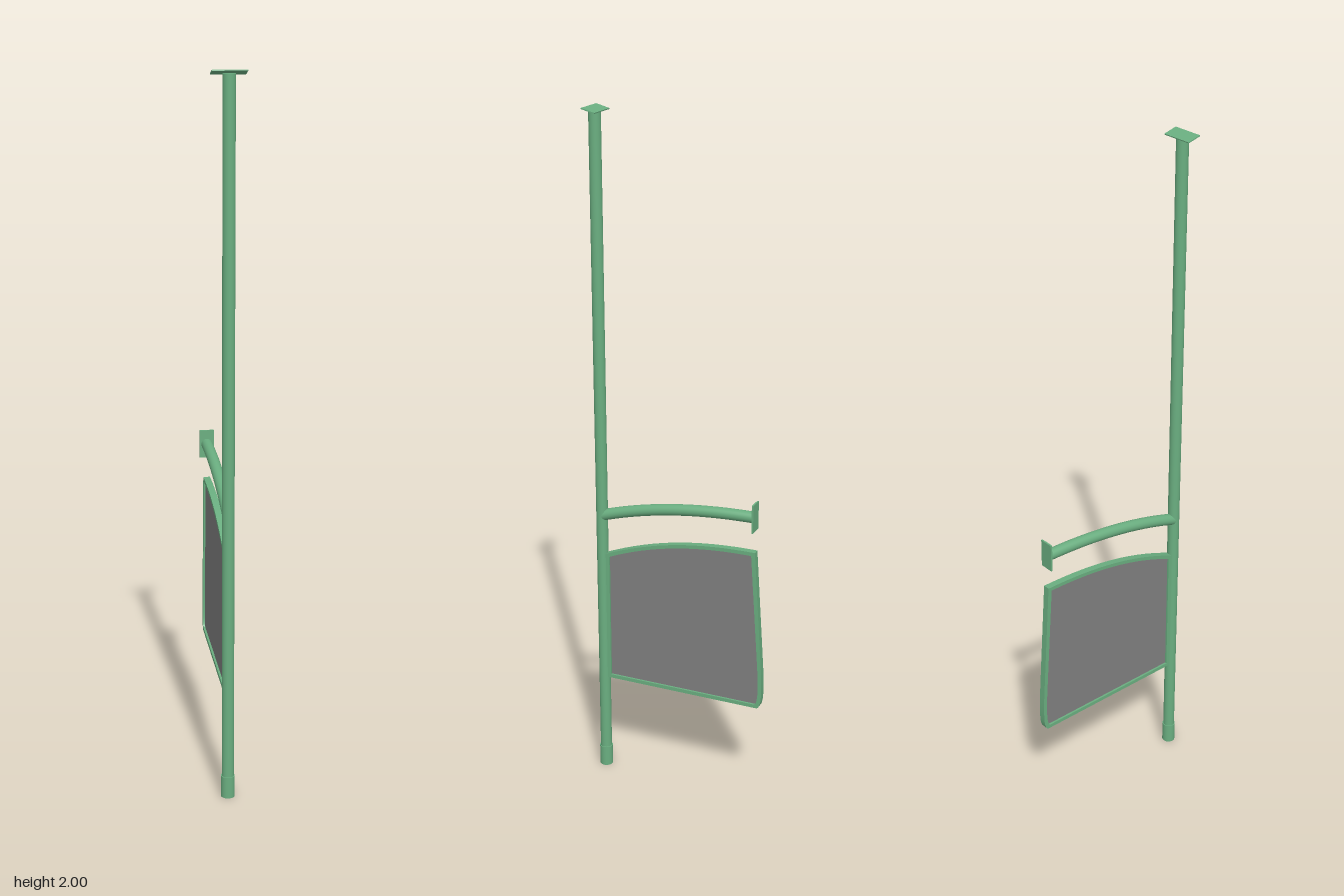
import * as THREE from 'three';

const green = new THREE.MeshStandardMaterial({ color: 0x6aae80 });
const grey = new THREE.MeshStandardMaterial({ color: 0x808080 });
const POLE_Z = 0.244;

// Panel outline, inset by d; shape x runs towards the back (-z)
function outline(d, Type) {
  const s = new Type();
  s.moveTo(-0.23 + d, 0.305 + d);
  s.lineTo(0.246 - d * 0.5, 0.305 + d);
  s.quadraticCurveTo(0.258 - d, 0.305 + d, 0.261 - d, 0.335 + d * 0.5);
  s.quadraticCurveTo(0.264 - d, 0.37, 0.26 - d, 0.43);
  s.lineTo(0.235 - d, 0.797 - d);
  s.bezierCurveTo(0.06, 0.799 - d, -0.08, 0.775 - d, -0.23 + d, 0.711 - d * 0.7);
  s.closePath();
  return s;
}

// Extrudes a side profile, centred on x = 0
function sideExtrude(shape, depth) {
  return new THREE.ExtrudeGeometry(shape, { depth, bevelEnabled: false, curveSegments: 16 })
    .translate(0, 0, -depth / 2)
    .rotateY(Math.PI / 2);
}

export function createModel() {
  const group = new THREE.Group();
  const add = (name, geometry, material = green) => {
    const mesh = new THREE.Mesh(geometry, material);
    mesh.name = name;
    group.add(mesh);
    return mesh;
  };

  // Upright pole with a sleeve at the foot
  add('pole', new THREE.CylinderGeometry(0.017, 0.017, 1.99, 32).translate(0, 0.995, POLE_Z));
  add('footSleeve', new THREE.CylinderGeometry(0.0195, 0.0195, 0.063, 32).translate(0, 0.0315, POLE_Z));

  // Tilted mounting plate on top
  const top = add('topPlate', new THREE.BoxGeometry(0.092, 0.003, 0.041));
  top.position.set(0, 1.993, 0.242);
  top.rotation.x = -0.26;

  // Curved grab rail and its wall plate
  const rail = new THREE.CubicBezierCurve3(
    new THREE.Vector3(0, 0.83, POLE_Z - 0.005),
    new THREE.Vector3(0, 0.878, 0.095),
    new THREE.Vector3(0, 0.9, -0.06),
    new THREE.Vector3(0, 0.9, -0.229)
  );
  add('grabRail', new THREE.TubeGeometry(rail, 32, 0.0165, 24));
  add('railPlate', new THREE.BoxGeometry(0.042, 0.083, 0.005).translate(0, 0.901, -0.23));

  // Panel in a narrow frame
  const frame = outline(0, THREE.Shape);
  frame.holes.push(outline(0.011, THREE.Path));
  add('panelFrame', sideExtrude(frame, 0.02));
  add('panel', sideExtrude(outline(0.009, THREE.Shape), 0.008), grey);

  return group;
}
